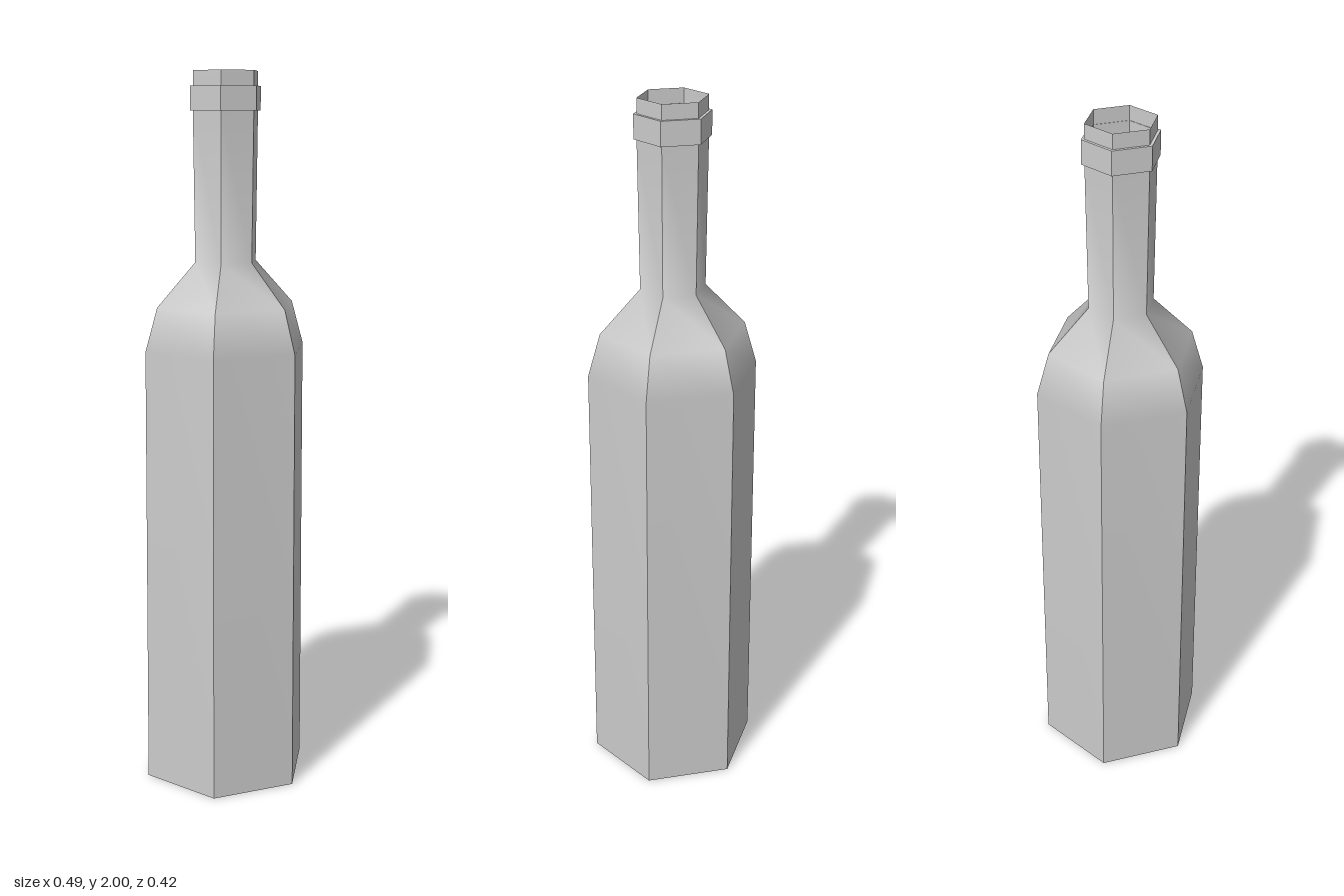
import * as THREE from 'three';
import { mergeGeometries } from 'three/addons/utils/BufferGeometryUtils.js';

const SIDES = 6;
const STEP = (Math.PI * 2) / SIDES;

// Six separate panels: smooth up the profile, sharp between neighbouring sides.
function hexPanels(profile) {
  const points = profile.map(([r, y]) => new THREE.Vector2(r, y));
  const panels = [];
  for (let i = 0; i < SIDES; i++) {
    const panel = new THREE.LatheGeometry(points, 1, Math.PI / 6 + i * STEP, STEP);
    panel.computeVertexNormals();
    panels.push(panel);
  }
  return mergeGeometries(panels);
}

export function createModel() {
  const material = new THREE.MeshStandardMaterial({ color: 0xcccccc, side: THREE.DoubleSide });
  const group = new THREE.Group();
  group.name = 'bottle';

  const add = (name, geometry) => {
    const mesh = new THREE.Mesh(geometry, material);
    mesh.name = name;
    group.add(mesh);
    return mesh;
  };

  // Thin-walled body, shoulder and neck, open at the mouth
  add('bottleBody', hexPanels([
    [0.243, 0], [0.237, 1.25], [0.202, 1.37], [0.09, 1.49], [0.095, 1.9], [0.094, 2],
  ]));

  // Flat base
  const base = add('base', new THREE.CircleGeometry(0.243, SIDES));
  base.rotation.x = Math.PI / 2;

  // Collar just below the mouth: underside, band and top step
  add('neckCollar', mergeGeometries([
    hexPanels([[0.093, 1.895], [0.103, 1.895]]),
    hexPanels([[0.103, 1.895], [0.103, 1.96]]),
    hexPanels([[0.103, 1.96], [0.093, 1.96]]),
  ]));

  return group;
}
